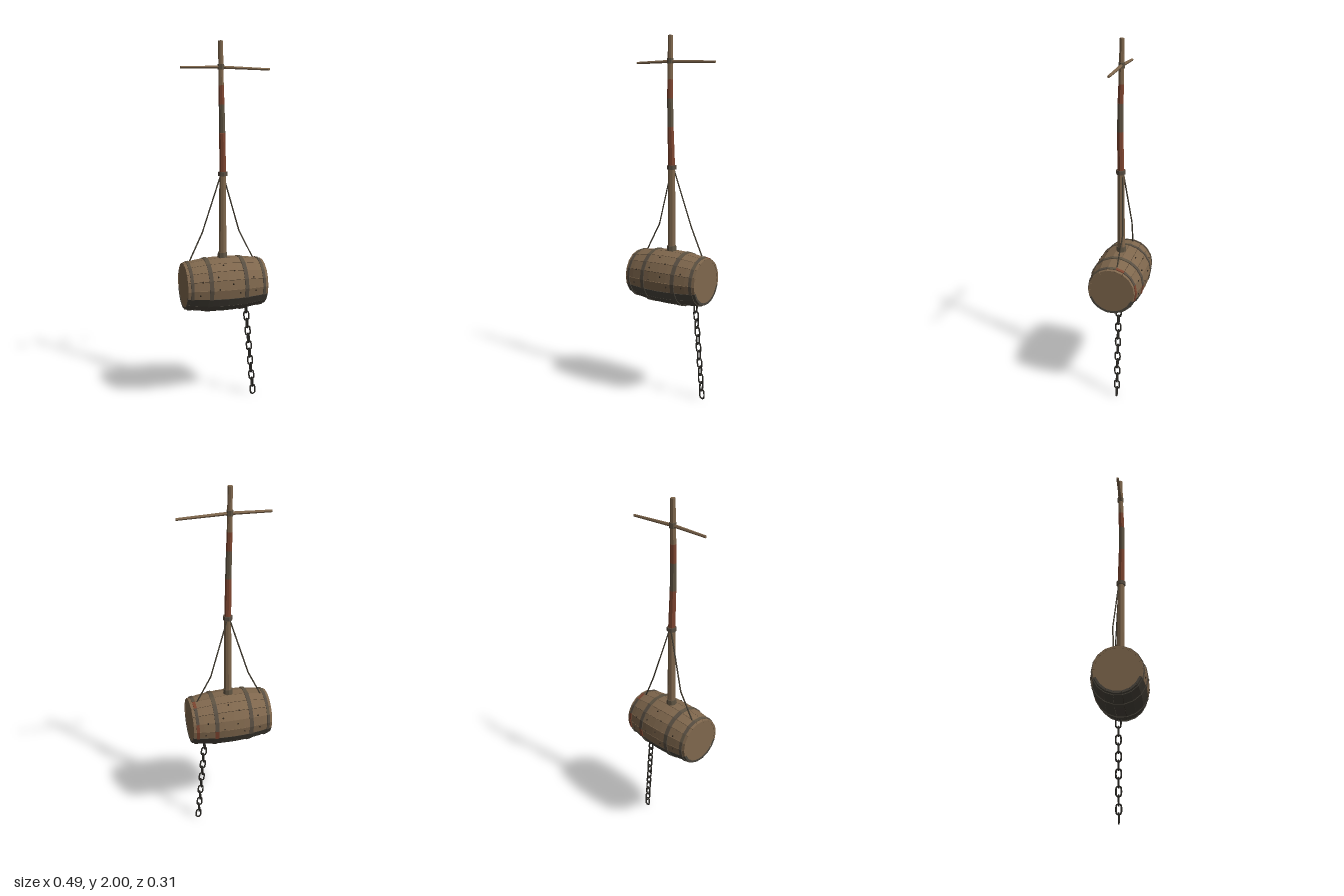
import * as THREE from 'three';

const mat = (name, color, flatShading = false) =>
  Object.assign(new THREE.MeshStandardMaterial({ color, flatShading }), { name });

const CX = -0.02, CY = 0.69, HALF = 0.225, STAVES = 18, STEP = (Math.PI * 2) / STAVES;
const V = (x, y, z) => new THREE.Vector3(x, y, z);

// Radius of the barrel belly at a distance x from its middle
const belly = (x) => 0.152 - 0.024 * (x / HALF) ** 2;

export function createModel() {
  const wood = mat('wood', 0x7f674d, true);
  const wetWood = mat('wet wood', 0x4a453c, true);
  const iron = mat('iron hoop', 0x574d41, true);
  const rust = mat('rust', 0x7d4530, true);
  const weathered = mat('weathered wood', 0x5e5342, true);
  const seam = mat('dark seam', 0x352c22);
  const rope = mat('rope', 0x453f34);
  const chainIron = mat('chain iron', 0x2c2a26);

  const model = new THREE.Group();
  model.name = 'barrelBuoy';

  const add = (parent, name, geo, material) => {
    const m = new THREE.Mesh(geo, material);
    m.name = name;
    parent.add(m);
    return m;
  };
  const group = (name) => {
    const g = new THREE.Group();
    g.name = name;
    model.add(g);
    return g;
  };
  // Tapered rod between two points
  const rod = (parent, name, a, b, r0, r1, material, sides = 8) => {
    const d = b.clone().sub(a);
    const m = add(parent, name, new THREE.CylinderGeometry(r1, r0, d.length(), sides), material);
    m.position.copy(a).add(b).multiplyScalar(0.5);
    m.quaternion.setFromUnitVectors(V(0, 1, 0), d.normalize());
    return m;
  };
  // Box wrapped round the barrel: y becomes radius, z becomes angle from the top
  const wrapped = (x0, length, lift, thick, angle, sweep, segs) => {
    const geo = new THREE.BoxGeometry(length, 1, 1, segs, 1, 1);
    const p = geo.attributes.position;
    for (let i = 0; i < p.count; i++) {
      const x = p.getX(i) + x0;
      const r = belly(x) + lift + (p.getY(i) - 0.5) * thick;
      const a = angle + p.getZ(i) * sweep;
      p.setXYZ(i, x, r * Math.cos(a), r * Math.sin(a));
    }
    geo.computeVertexNormals();
    return geo;
  };

  // Barrel: staves with narrow gaps over a dark core
  const barrel = group('barrel');
  barrel.position.set(CX, CY, 0);
  for (let k = 0; k < STAVES; k++) {
    const wet = k >= 6 && k <= 12;
    add(barrel, 'stave', wrapped(0, HALF * 2, 0, 0.012, k * STEP, STEP * 0.965, 8), wet ? wetWood : wood);
  }
  const profile = [];
  for (let i = 0; i <= 8; i++) {
    const x = (i / 4 - 1) * (HALF - 0.005);
    profile.push(new THREE.Vector2(belly(x) - 0.005, x));
  }
  profile.unshift(new THREE.Vector2(0, -HALF + 0.005));
  profile.push(new THREE.Vector2(0, HALF - 0.005));
  add(barrel, 'barrelCore', new THREE.LatheGeometry(profile, STAVES), seam).rotation.set(Math.PI / 18, 0, -Math.PI / 2);
  for (const s of [-1, 1]) {
    const head = add(barrel, 'barrelHead', new THREE.CylinderGeometry(0.116, 0.116, 0.008, 32), wood);
    head.rotation.z = Math.PI / 2;
    head.position.x = s * (HALF - 0.006);
  }

  // Iron hoops, with worn and rusty stretches
  const hoops = [
    { x: -0.202, w: 0.016, worn: [0, 1, 15], rusty: [] },
    { x: -0.1, w: 0.022, worn: [0, 1], rusty: [] },
    { x: 0.097, w: 0.022, worn: [0, 1, 17], rusty: [13] },
    { x: 0.202, w: 0.016, worn: [0, 2], rusty: [17, 14, 13] },
  ];
  for (const { x, w, worn, rusty } of hoops) {
    for (let k = 0; k < STAVES; k++) {
      const wet = k >= 6 && k <= 12;
      const m = rusty.includes(k) ? rust : worn.includes(k) ? weathered : wet ? wetWood : iron;
      add(barrel, 'hoop', wrapped(x, w, 0.004, 0.008, k * STEP, STEP, 1), m);
    }
  }

  // Nail heads scattered over the front and back staves
  const nails = [[-0.145, 70], [-0.06, 62], [-0.055, 88], [0.02, 78], [0.035, 50], [0.14, 66],
    [0.15, 96], [-0.16, 100], [-0.02, 35], [0.06, 98]];
  for (const [x, deg] of nails) {
    for (const s of [-1, 1]) {
      const a = (s * deg * Math.PI) / 180, r = belly(x) - 0.001;
      add(barrel, 'nail', new THREE.SphereGeometry(0.005, 6, 4), seam)
        .position.set(s * x, r * Math.cos(a), r * Math.sin(a));
    }
  }

  // Mast: slightly crooked and tapering, with faded painted bands
  const mast = group('mast');
  const joints = [
    [V(-0.02, 0.82, 0), 0.022, wood],
    [V(-0.019, 1.3, 0.002), 0.019, rust],
    [V(-0.023, 1.52, 0.007), 0.017, weathered],
    [V(-0.026, 1.67, 0.006), 0.016, rust],
    [V(-0.028, 1.77, 0.003), 0.015, wood],
    [V(-0.029, 2.0, -0.002), 0.013, wood],
  ];
  for (let i = 0; i < joints.length - 1; i++) {
    const [a, r0, m] = joints[i], [b, r1] = joints[i + 1];
    rod(mast, 'mastSection', a, b, r0, r1, m);
  }
  rod(mast, 'baseCollar', V(-0.021, 0.835, 0), V(-0.021, 0.867, 0), 0.028, 0.026, weathered);
  rod(mast, 'ropeCollar', V(-0.019, 1.29, 0.002), V(-0.019, 1.312, 0.002), 0.026, 0.026, iron);
  rod(mast, 'crossLashing', V(-0.028, 1.852, 0), V(-0.028, 1.88, 0), 0.018, 0.018, weathered);

  // Crossbar near the mast head
  const bar = group('crossbar');
  rod(bar, 'crossbarLeft', V(-0.028, 1.864, 0), V(0.245, 1.855, -0.005), 0.009, 0.007, wood, 6);
  rod(bar, 'crossbarRight', V(-0.028, 1.864, 0), V(-0.247, 1.861, -0.002), 0.009, 0.007, wood, 6);

  // Stay ropes from the collar down to the barrel
  const stays = group('stayRopes');
  for (const s of [-1, 1]) {
    const path = [V(-0.02 + s * 0.008, 1.29, -0.01), V(-0.02 + s * 0.106, 0.975, -0.035),
      V(-0.02 + s * 0.186, 0.815, -0.023)];
    for (let i = 0; i < 2; i++) rod(stays, 'stayRope', path[i], path[i + 1], 0.004, 0.004, rope, 6);
    add(stays, 'ropeKnee', new THREE.SphereGeometry(0.004, 6, 4), rope).position.copy(path[1]);
  }

  // Hanging chain: oval links turned a quarter turn one after another
  const chain = group('chain');
  const linkGeo = new THREE.TorusGeometry(0.0145, 0.0045, 6, 16);
  const lp = linkGeo.attributes.position;
  for (let i = 0; i < lp.count; i++) {
    const y = lp.getY(i);
    lp.setY(i, y + 0.0125 * THREE.MathUtils.clamp(y / 0.006, -1, 1));
  }
  linkGeo.computeVertexNormals();
  for (let i = 0; i < 12; i++) {
    const link = add(chain, 'chainLink', linkGeo, chainIron);
    link.position.set(0.168 - 0.004 * i, 0.0315 + 0.045 * i, -0.022);
    link.rotation.set(0, i % 2 ? Math.PI / 2 : 0, i % 2 ? 0 : 0.09);
  }
  return model;
}
